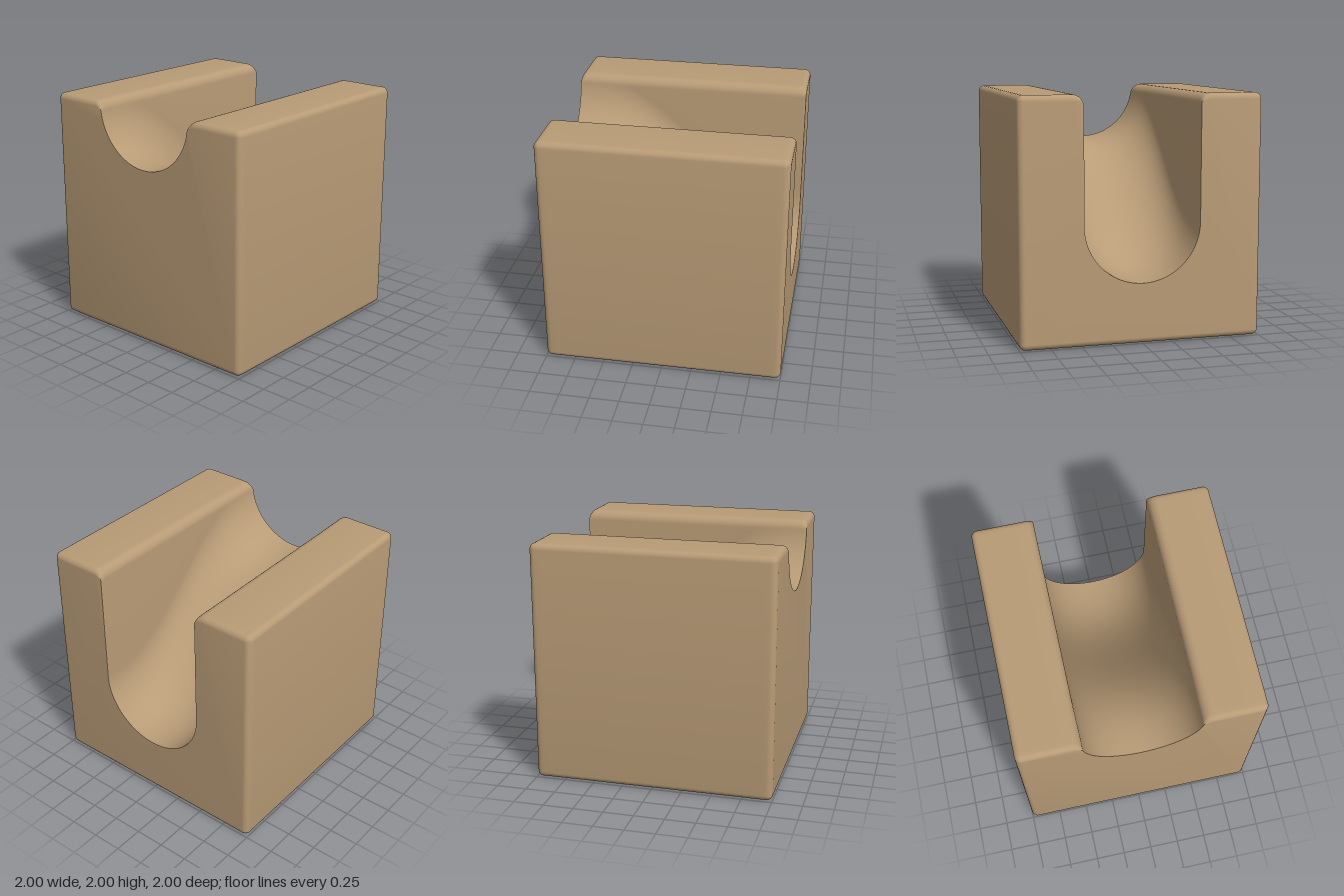
import * as THREE from 'three';
import { mergeGeometries, toCreasedNormals } from 'three/addons/utils/BufferGeometryUtils.js';

const EDGE = 0.05;    // rounding of the block's outer edges
const GROOVE = 0.48;  // groove radius
const LIP = 0.08;     // rounding where the groove meets the top
const LIP_Y = 2 - LIP;

// height of the groove's centre line: high at -x, low at +x
function grooveCentre(x) {
  return THREE.MathUtils.lerp(1.99, 0.975, THREE.MathUtils.smootherstep(x, -1, 1));
}

// points along an elliptical arc, angles in degrees
function arc(cx, cy, rx, ry, from, to, steps) {
  return Array.from({ length: steps + 1 }, (_, i) => {
    const a = THREE.MathUtils.degToRad(from + (to - from) * i / steps);
    return new THREE.Vector2(cx + rx * Math.cos(a), cy + ry * Math.sin(a));
  });
}

// outline of the block at x, shrunk by inset near the rounded ends
function section(x, inset) {
  const c = grooveCentre(x);
  const r = EDGE - inset;
  const start = Math.asin(Math.min(0, (LIP_Y - c) / GROOVE));
  const w = GROOVE * Math.cos(start);
  const half = [
    ...arc(1 - EDGE, EDGE, r, r, -90, 0, 6),
    ...arc(1 - EDGE, 2 - EDGE, r, r, 0, 90, 6),
    ...arc(GROOVE + LIP, LIP_Y, GROOVE + LIP - w, LIP - inset, 90, 180, 8),
    ...arc(0, c, GROOVE, GROOVE, THREE.MathUtils.radToDeg(start), -90, 24),
  ];
  const mirrored = half.slice(0, -1).reverse().map((p) => new THREE.Vector2(-p.x, p.y));
  return [...half, ...mirrored];
}

// stations along x, dense at the rounded ends
function stations() {
  const end = [];
  for (let i = 0; i <= 6; i++) {
    const a = (i / 6) * Math.PI / 2;
    end.push({ x: 1 - EDGE + EDGE * Math.cos(a), inset: EDGE * (1 - Math.sin(a)) });
  }
  const list = end.map((s) => ({ x: -s.x, inset: s.inset }));
  for (let i = 1; i < 48; i++) list.push({ x: (1 - EDGE) * (i / 24 - 1), inset: 0 });
  return [...list, ...end.reverse()];
}

// flat end of the block, facing +x or -x
function endCap(side) {
  const geo = new THREE.ShapeGeometry(new THREE.Shape(section(side, EDGE)));
  geo.rotateY(side * Math.PI / 2).translate(side, 0, 0);
  return geo;
}

// skin lofted through all sections
function skin() {
  const rows = stations().map((s) => ({ x: s.x, pts: section(s.x, s.inset) }));
  const n = rows[0].pts.length;
  const pos = [];
  const index = [];
  rows.forEach((row, i) => {
    row.pts.forEach((p, j) => {
      pos.push(row.x, p.y, -p.x);
      if (i === rows.length - 1) return;
      const a = i * n + j;
      const b = i * n + (j + 1) % n;
      index.push(a, b, a + n, b, b + n, a + n);
    });
  });
  const geo = new THREE.BufferGeometry();
  geo.setAttribute('position', new THREE.Float32BufferAttribute(pos, 3));
  geo.setIndex(index);
  return geo;
}

export function createModel() {
  const wood = new THREE.MeshStandardMaterial({ color: 0xb89b76 });
  wood.name = 'wood';

  const parts = [skin(), endCap(1), endCap(-1)].map((g) => {
    const flat = g.toNonIndexed();
    flat.deleteAttribute('uv');
    flat.deleteAttribute('normal');
    return flat;
  });
  const merged = mergeGeometries(parts);
  merged.computeVertexNormals();

  const block = new THREE.Mesh(toCreasedNormals(merged, 0.5), wood);
  block.name = 'groovedBlock';

  const model = new THREE.Group();
  model.name = 'slopedTrackBlock';
  model.add(block);
  return model;
}
